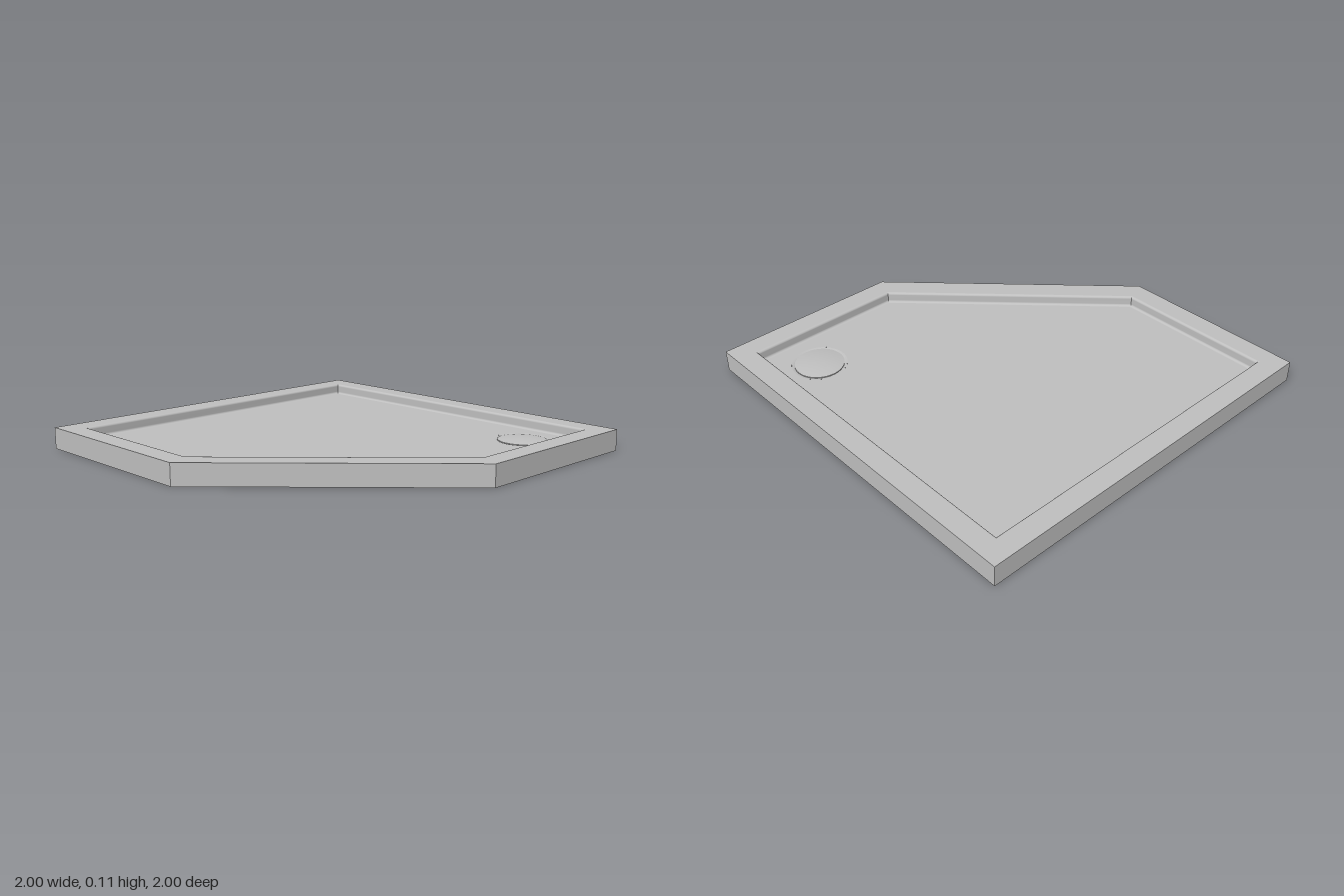
import * as THREE from 'three';
import { toCreasedNormals } from 'three/addons/utils/BufferGeometryUtils.js';

const HEIGHT = 0.11, FLOOR = 0.055;
const DRAIN = { x: 0.663, z: -0.67, lip: 0.14, hole: 0.112, cap: 0.125 };
// plan outline as [x, z]: a square with the front left corner cut off
const PLAN = [[-1, -1], [1, -1], [1, -0.01], [-0.01, 1], [-1, 1]];

// outline moved inwards by d, with mitred corners
function inset(d) {
  const n = PLAN.length;
  const inward = PLAN.map(([x, z], i) => {
    const [x2, z2] = PLAN[(i + 1) % n];
    const l = Math.hypot(x2 - x, z2 - z);
    return [-(z2 - z) / l, (x2 - x) / l];
  });
  return PLAN.map(([x, z], i) => {
    const a = inward[(i + n - 1) % n], b = inward[i];
    const k = d / (1 + a[0] * b[0] + a[1] * b[1]);
    return [x + (a[0] + b[0]) * k, z + (a[1] + b[1]) * k];
  });
}

// sweep a profile of [inset, y] round the outline, smooth along the profile and sharp at the corners
function sweep(profile) {
  const rings = profile.map(([d]) => inset(d));
  const pos = [], index = [];
  PLAN.forEach((_, i) => {
    const j = (i + 1) % PLAN.length, base = pos.length / 3;
    profile.forEach(([, y], k) => {
      const [ax, az] = rings[k][i], [bx, bz] = rings[k][j];
      pos.push(ax, y, az, bx, y, bz);
      if (k > 0) {
        const a = base + 2 * k - 2;
        index.push(a, a + 2, a + 1, a + 1, a + 2, a + 3);
      }
    });
  });
  const g = new THREE.BufferGeometry();
  g.setAttribute('position', new THREE.Float32BufferAttribute(pos, 3));
  g.setIndex(index);
  g.computeVertexNormals();
  return g;
}

// flat sheet with a round drain opening; side is 1 facing up, -1 facing down
function sheet(d, y, radius, side) {
  const shape = new THREE.Shape(inset(d).map(([x, z]) => new THREE.Vector2(x, -side * z)));
  shape.holes.push(new THREE.Path().absarc(DRAIN.x, -side * DRAIN.z, radius, 0, Math.PI * 2, true));
  return new THREE.ShapeGeometry(shape, 48).rotateX(-side * Math.PI / 2).translate(0, y, 0);
}

function lathe(points) {
  const g = new THREE.LatheGeometry(points.map(([r, y]) => new THREE.Vector2(r, y)), 64);
  return toCreasedNormals(g, 0.6).translate(DRAIN.x, 0, DRAIN.z);
}

export function createModel() {
  const model = new THREE.Group();
  model.name = 'showerTray';
  const grey = new THREE.MeshStandardMaterial({ color: 0xc0c0c0 });
  grey.name = 'lightGrey';
  const add = (name, geometry) => {
    const mesh = new THREE.Mesh(geometry, grey);
    mesh.name = name;
    model.add(mesh);
  };

  // outer shell
  add('outerWall', sweep([[0, 0], [0, HEIGHT]]));
  add('rim', sweep([[0, HEIGHT], [0.106, HEIGHT]]));
  add('underside', sheet(0, 0, DRAIN.hole, -1));

  // basin wall: rounded over at the rim and coved into the floor
  const r = 0.012, wall = [];
  for (let i = 0; i <= 6; i++) {
    const t = i / 6 * Math.PI / 2;
    wall.push([0.106 + r * Math.sin(t), HEIGHT - r * (1 - Math.cos(t))]);
  }
  for (let i = 0; i <= 6; i++) {
    const t = i / 6 * Math.PI / 2;
    wall.push([0.118 + r * (1 - Math.cos(t)), FLOOR + r * (1 - Math.sin(t))]);
  }
  add('basinWall', sweep(wall));
  add('basinFloor', sheet(0.13, FLOOR, DRAIN.lip, 1));

  // drain opening with a rounded lip
  const lip = [], w = DRAIN.lip - DRAIN.hole;
  for (let i = 0; i <= 6; i++) {
    const t = i / 6 * Math.PI / 2;
    lip.push([DRAIN.lip - w * Math.sin(t), FLOOR - 0.02 * (1 - Math.cos(t))]);
  }
  lip.push([DRAIN.hole, 0]);
  add('drainOpening', lathe(lip));

  // slightly domed drain cover
  const cover = [[0, 0.046], [DRAIN.cap - 0.005, 0.046], [DRAIN.cap, 0.049], [DRAIN.cap, 0.056]];
  for (let i = 1; i <= 6; i++) {
    const s = 1 - i / 6;
    cover.push([DRAIN.cap * s, 0.056 + 0.01 * (1 - s * s)]);
  }
  add('drainCover', lathe(cover));

  return model;
}
